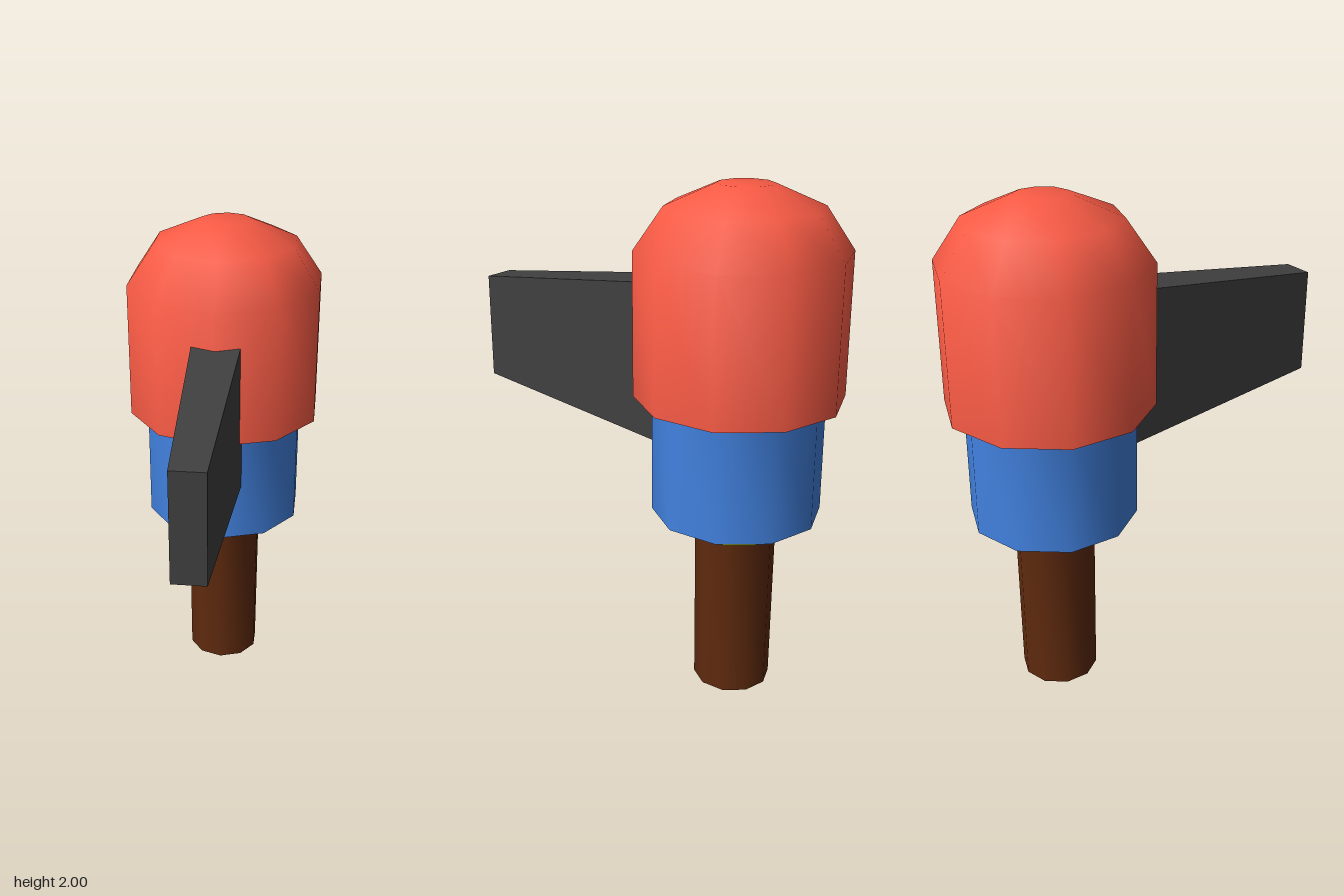
import * as THREE from 'three';
import { toCreasedNormals } from 'three/addons/utils/BufferGeometryUtils.js';

const SIDES = 10;
const AXIS_Z = -0.398; // the turned parts share this axis

// Ten-sided turned part from [radius, height] pairs, listed bottom to top
function turned(name, color, profile, side = THREE.FrontSide) {
  const points = profile.map(([r, y]) => new THREE.Vector2(r, y));
  const geometry = toCreasedNormals(new THREE.LatheGeometry(points, SIDES), Math.PI / 3);
  const mesh = new THREE.Mesh(geometry, new THREE.MeshStandardMaterial({ color, side }));
  mesh.name = name;
  mesh.position.z = AXIS_Z;
  return mesh;
}

// Box whose front end is narrower and lower than its back end
function taperedBox(name, color, back, front) {
  const geometry = new THREE.BoxGeometry(1, 1, 1);
  const pos = geometry.attributes.position;
  for (let i = 0; i < pos.count; i++) {
    const end = pos.getZ(i) > 0 ? front : back;
    pos.setXYZ(
      i,
      Math.sign(pos.getX(i)) * end.halfWidth,
      pos.getY(i) > 0 ? end.top : end.bottom,
      end.z
    );
  }
  geometry.computeVertexNormals();
  const mesh = new THREE.Mesh(geometry, new THREE.MeshStandardMaterial({ color }));
  mesh.name = name;
  return mesh;
}

export function createModel() {
  const model = new THREE.Group();
  model.name = 'model';

  // Domed cap with a flat top
  model.add(turned('domedCap', 0xf95b45, [
    [0.3, 1.21], [0.4, 1.21], [0.4, 1.76], [0.29, 1.92], [0.105, 2], [0, 2],
  ]));

  // Collar, hollowed out underneath
  model.add(turned('collar', 0x4282e0, [
    [0, 0.84], [0.27, 0.84], [0.27, 0.745], [0.328, 0.745], [0.328, 1.25],
  ]));

  // Flared ring between collar and shaft
  model.add(turned('flaredRing', 0xdaf00d, [
    [0.1, 0.67], [0.187, 0.67], [0.221, 0.84],
  ]));

  // Open-ended shaft
  model.add(turned('shaft', 0x5f2a0e, [
    [0.153, 0], [0.158, 0.69],
  ], THREE.DoubleSide));

  // Tapered arm sticking out to the front
  model.add(taperedBox('arm', 0x404040,
    { z: -0.3, halfWidth: 0.105, bottom: 0.957, top: 1.642 },
    { z: 0.798, halfWidth: 0.064, bottom: 1.085, top: 1.515 }));

  return model;
}
